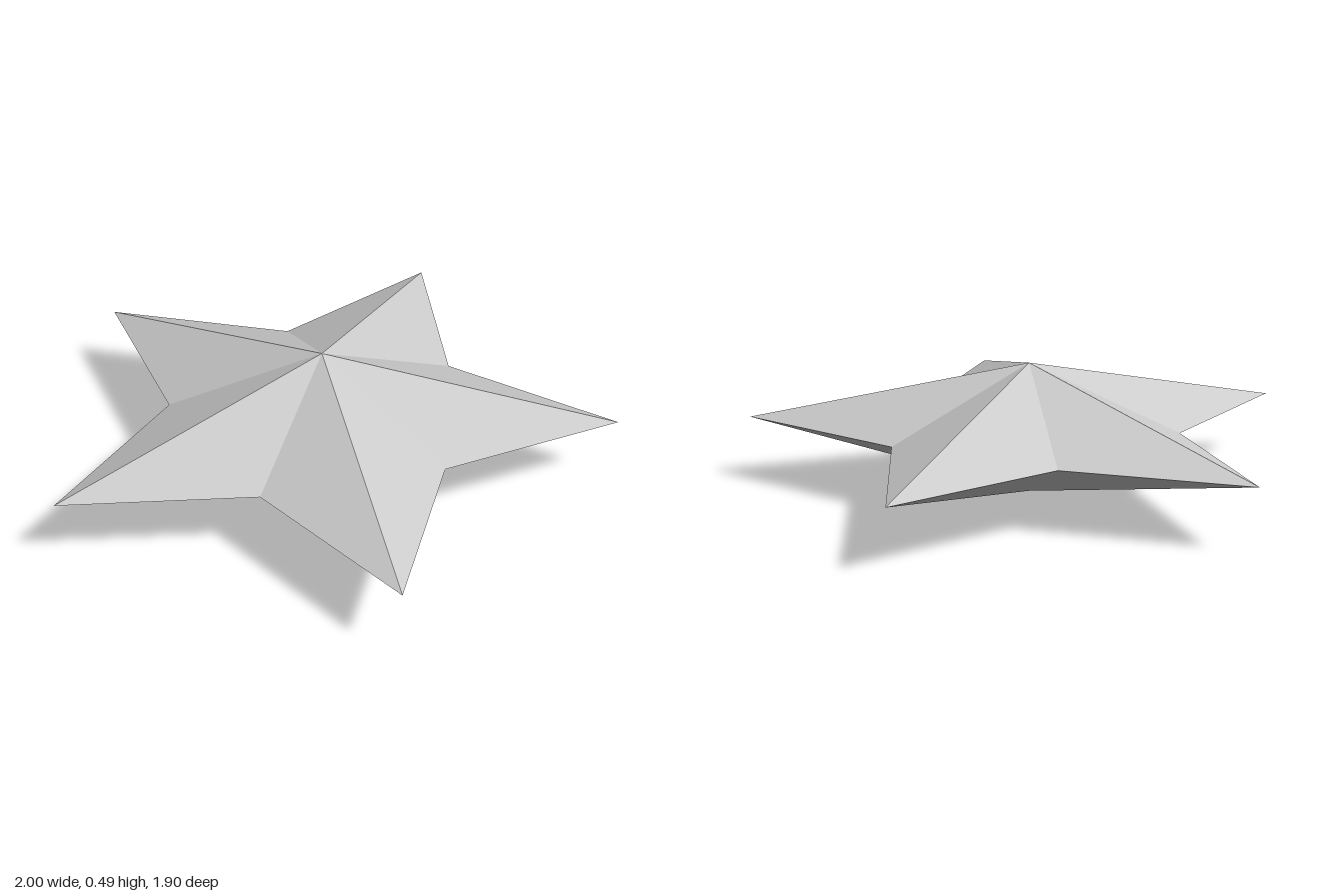
import * as THREE from 'three';

const TIP_RADIUS = 1.05, VALLEY_RADIUS = 0.55, HALF_HEIGHT = 0.243, CENTRE_Z = 0.095;

// Rim point i of ten: even ones are tips, odd ones valleys, the first tip points to -z
function rimPoint(i) {
  const r = i % 2 === 0 ? TIP_RADIUS : VALLEY_RADIUS;
  const a = (i * Math.PI) / 5;
  return [r * Math.sin(a), 0, -r * Math.cos(a)];
}

// Faceted pyramid from the star outline to an apex above (side 1) or below (side -1)
function starHalf(side) {
  const positions = [];
  for (let i = 0; i < 10; i++) {
    const a = rimPoint(i), b = rimPoint(i + 1);
    positions.push(0, side * HALF_HEIGHT, 0, ...(side > 0 ? [...b, ...a] : [...a, ...b]));
  }
  const geometry = new THREE.BufferGeometry();
  geometry.setAttribute('position', new THREE.Float32BufferAttribute(positions, 3));
  geometry.computeVertexNormals();
  return geometry;
}

export function createModel() {
  const grey = new THREE.MeshStandardMaterial({ color: 0xcccccc });
  grey.name = 'light grey';
  grey.flatShading = true;

  const star = new THREE.Group();
  star.name = 'star';
  for (const [name, side] of [['upperHalf', 1], ['lowerHalf', -1]]) {
    const half = new THREE.Mesh(starHalf(side), grey);
    half.name = name;
    half.position.set(0, HALF_HEIGHT, CENTRE_Z);
    star.add(half);
  }
  return star;
}
